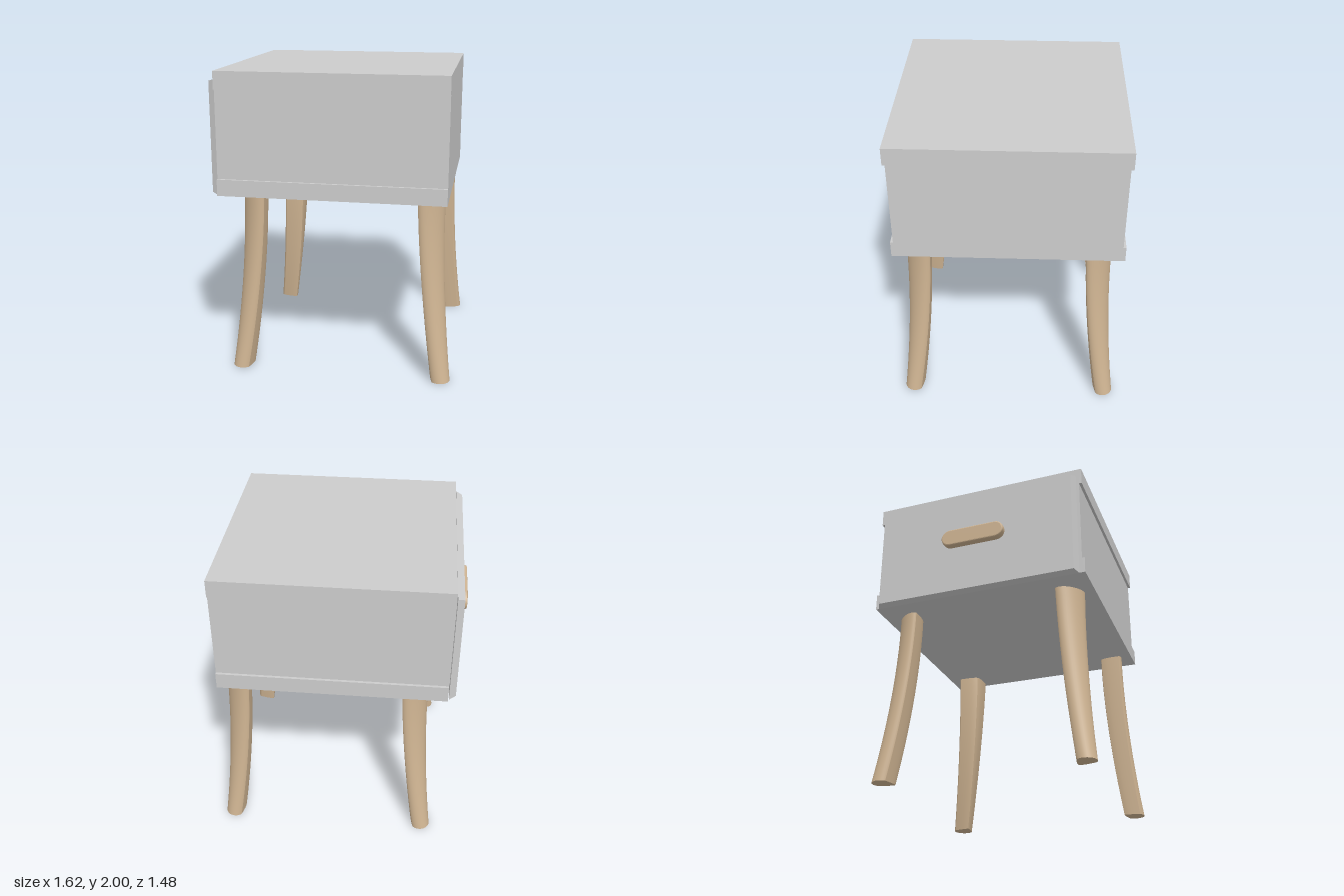
import * as THREE from 'three';

const grey = new THREE.MeshStandardMaterial({ color: 0xcccccc });
grey.name = 'paintedGrey';
const wood = new THREE.MeshStandardMaterial({ color: 0xd0b593 });
wood.name = 'paleWood';

const CENTRE_X = 0.0725; // legs are centred a little behind the drawer front
const LEG_TOP = 1.2;

function part(name, geometry, material) {
  const mesh = new THREE.Mesh(geometry, material);
  mesh.name = name;
  return mesh;
}

// Cabinet: side profile with projecting top and bottom boards, swept along x
function cabinetGeometry() {
  const half = [[0.738, 1.2], [0.738, 1.308], [0.72, 1.308], [0.72, 1.885], [0.738, 1.885], [0.738, 2]];
  const outline = [...half, ...half.map(([z, y]) => [-z, y]).reverse()];
  const shape = new THREE.Shape(outline.map(([z, y]) => new THREE.Vector2(z, y)));
  const geo = new THREE.ExtrudeGeometry(shape, { depth: 1.474, bevelEnabled: false });
  geo.rotateY(-Math.PI / 2);
  geo.translate(0.76, 0, 0);
  return geo;
}

// Drawer front: slab whose outer face is slightly smaller than its inner face
function drawerFrontGeometry() {
  const geo = new THREE.BoxGeometry(0.043, 0.75, 1.415);
  const pos = geo.attributes.position;
  for (let i = 0; i < pos.count; i++) {
    if (pos.getX(i) < 0) {
      pos.setY(i, pos.getY(i) * (0.72 / 0.75));
      pos.setZ(i, pos.getZ(i) * (1.365 / 1.415));
    }
  }
  geo.computeVertexNormals();
  geo.translate(-0.7415, 1.57, -0.0065);
  return geo;
}

// Handle: rounded bar with softened edges
function handleGeometry() {
  const r = 0.05, s = 0.16, bevel = 0.01;
  const shape = new THREE.Shape();
  shape.absarc(s, 0, r, -Math.PI / 2, Math.PI / 2, false);
  shape.absarc(-s, 0, r, Math.PI / 2, Math.PI * 1.5, false);
  const geo = new THREE.ExtrudeGeometry(shape, {
    depth: 0.03, curveSegments: 16, bevelThickness: bevel, bevelSize: bevel, bevelSegments: 3,
  });
  geo.rotateY(-Math.PI / 2);
  geo.translate(-0.771, 1.595, -0.005);
  return geo;
}

// Leg: splayed, tapering; round outside with a ridge along the inner side.
// Built along +x and then turned to each corner.
function legGeometry() {
  const rows = 20, cols = 32;
  const positions = [], index = [];
  const lerp = THREE.MathUtils.lerp;
  for (let j = 0; j <= rows; j++) {
    const y = (LEG_TOP * j) / rows, t = 1 - y / LEG_TOP;
    const reach = (0.576 + 0.092 * t ** 1.8) * Math.SQRT2;
    const outer = lerp(0.06, 0.065, t), width = lerp(0.11, 0.067, t), ridge = 0.09;
    for (let i = 0; i <= cols; i++) {
      const a = Math.PI + (i / cols) * Math.PI * 2;
      const c = Math.cos(a), s = Math.sin(a);
      // the inner half narrows to a blunt corner
      const u = c >= 0 ? outer * c : -ridge * (1 - Math.abs(s) ** 1.35);
      positions.push(reach + u, y, -width * s);
    }
  }
  const n = cols + 1;
  for (let j = 0; j < rows; j++) {
    for (let i = 0; i < cols; i++) {
      const a = j * n + i, b = a + 1, c = a + n, d = c + 1;
      index.push(a, b, c, b, d, c);
    }
  }
  // flat foot
  const foot = positions.length / 3;
  for (let i = 0; i <= cols; i++) positions.push(...positions.slice(i * 3, i * 3 + 3));
  positions.push(0.668 * Math.SQRT2, 0, 0);
  for (let i = 0; i < cols; i++) index.push(foot + n, foot + i + 1, foot + i);
  const geo = new THREE.BufferGeometry();
  geo.setAttribute('position', new THREE.Float32BufferAttribute(positions, 3));
  geo.setIndex(index);
  geo.computeVertexNormals();
  return geo;
}

export function createModel() {
  const model = new THREE.Group();
  model.name = 'bedsideTable';

  model.add(part('cabinet', cabinetGeometry(), grey));

  const drawer = new THREE.Group();
  drawer.name = 'drawer';
  drawer.add(part('drawerFront', drawerFrontGeometry(), grey));
  // hidden block joining the front to the cabinet
  const joint = part('drawerJoint', new THREE.BoxGeometry(0.03, 0.6, 1.3), grey);
  joint.position.set(-0.72, 1.57, 0);
  drawer.add(joint, part('handle', handleGeometry(), wood));
  model.add(drawer);

  const legGeo = legGeometry();
  const names = ['frontLeftLeg', 'backLeftLeg', 'backRightLeg', 'frontRightLeg'];
  names.forEach((name, k) => {
    const leg = part(name, legGeo, wood);
    leg.position.x = CENTRE_X;
    leg.rotation.y = -Math.PI / 4 + (k * Math.PI) / 2;
    model.add(leg);
  });

  return model;
}
